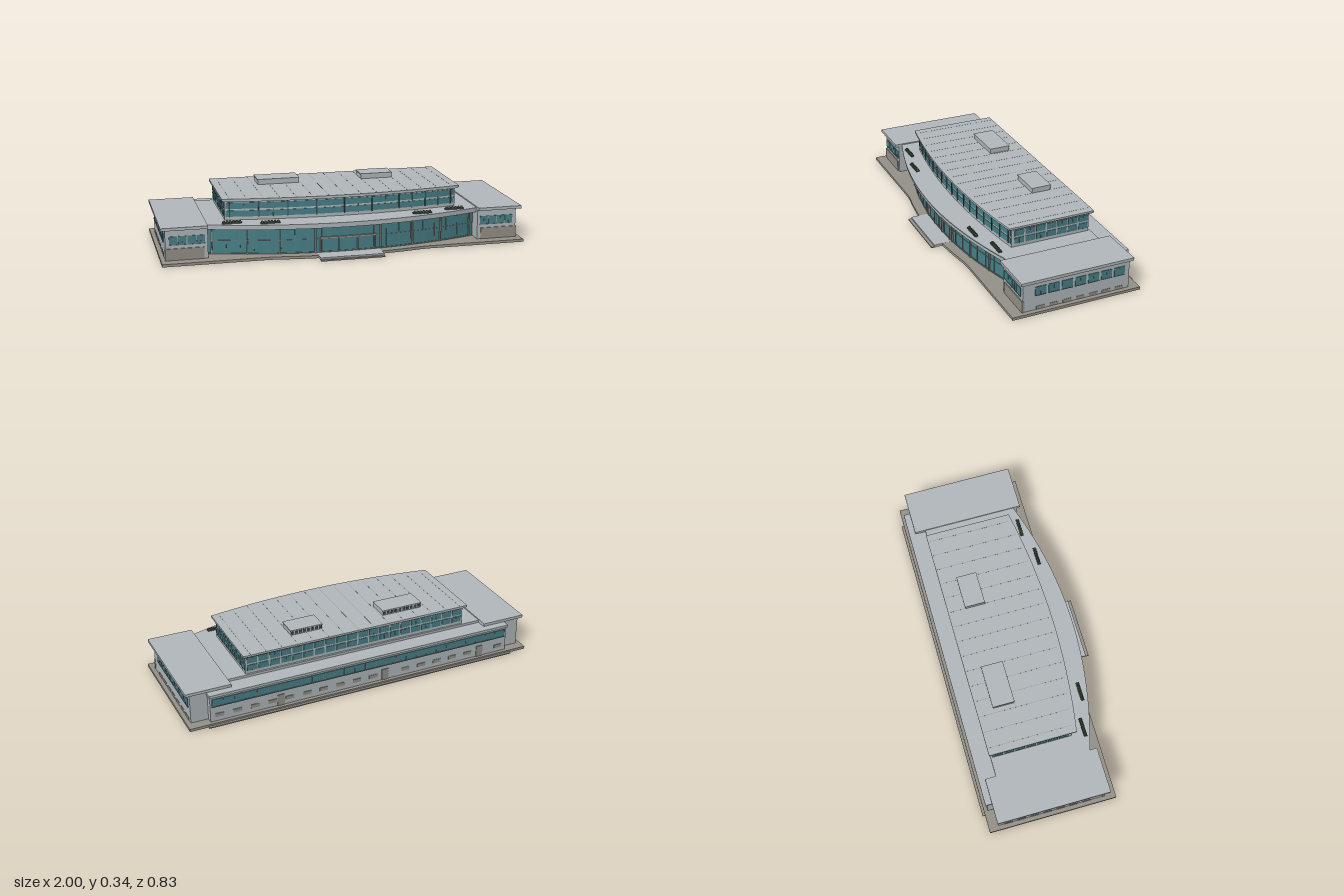
import * as THREE from 'three';

const mat = (name, color) => {
  const m = new THREE.MeshStandardMaterial({ color });
  m.name = name;
  return m;
};

export function createModel() {
  const root = new THREE.Group();
  const wall = mat('pale grey wall', 0xb3babd);
  const stone = mat('warm grey stone', 0x96938a);
  const glass = mat('teal glass', 0x48828a);
  const frame = mat('window frame', 0x6f7c7b);
  const dark = mat('dark metal', 0x42484a);
  const leaf = mat('shrub green', 0x46573a);

  const group = (name, parent = root) => {
    const g = new THREE.Group();
    g.name = name;
    parent.add(g);
    return g;
  };
  const add = (parent, name, geo, m) => {
    const o = new THREE.Mesh(geo, m);
    o.name = name;
    parent.add(o);
    return o;
  };
  // Box given by its limits on each axis
  const box = (parent, name, x0, x1, y0, y1, z0, z1, m) => {
    const o = add(parent, name, new THREE.BoxGeometry(x1 - x0, y1 - y0, z1 - z0), m);
    o.position.set((x0 + x1) / 2, (y0 + y1) / 2, (z0 + z1) / 2);
    return o;
  };
  // Slab with a bowed front edge z = front(x) and a straight back
  const bowed = (parent, name, half, front, back, y0, y1, m) => {
    const s = new THREE.Shape();
    s.moveTo(-half, -back);
    const n = 40;
    for (let i = 0; i <= n; i++) {
      const x = -half + (2 * half * i) / n;
      s.lineTo(x, -front(x));
    }
    s.lineTo(half, -back);
    const geo = new THREE.ExtrudeGeometry(s, { depth: y1 - y0, bevelEnabled: false });
    geo.rotateX(-Math.PI / 2);
    geo.translate(0, y0, 0);
    return add(parent, name, geo, m);
  };
  const arc = (zc, k) => (x) => zc - k * x * x;
  const KL = 0.222, KU = 0.134;

  // Upright bar set on a bowed front
  const bowBar = (parent, name, x, f, k, y0, y1, w, d, m) => {
    const o = box(parent, name, x - w / 2, x + w / 2, y0, y1, f(x) - d / 2, f(x) + d / 2, m);
    o.rotation.y = Math.atan(2 * k * x);
    return o;
  };
  // Flat window with one centre mullion, facing +z before it is turned
  const windowUnit = (parent, x, y, z, w, h, turn, sill = false) => {
    const g = group('window', parent);
    box(g, 'pane', -w / 2, w / 2, -h / 2, h / 2, -0.002, 0.002, glass);
    box(g, 'mullion', -0.0012, 0.0012, -h / 2, h / 2, 0, 0.003, frame);
    if (sill) box(g, 'sill', -w / 2 - 0.001, w / 2 + 0.001, -h / 2 - 0.003, -h / 2, -0.002, 0.004, frame);
    g.position.set(x, y, z);
    g.rotation.y = turn;
  };

  // Ground slab, entrance step and rear kerb
  const ground = group('base');
  const ga = arc(0.354, KL);
  bowed(ground, 'baseSlab', 1, (x) => Math.max(0.315, ga(x)), -0.4, 0, 0.015, stone);
  box(ground, 'entranceLanding', -0.175, 0.175, 0.001, 0.0155, 0.3, 0.395, wall);
  box(ground, 'entranceStep', -0.175, 0.175, 0, 0.007, 0.39, 0.412, stone);
  box(ground, 'rearKerb', -0.9, 0.9, 0, 0.006, -0.414, -0.4, stone);

  // Ground floor core and bowed curtain wall
  const lower = group('groundFloor');
  box(lower, 'coreWalls', -0.76, 0.76, 0.015, 0.175, -0.345, 0.12, wall);
  const gl = arc(0.295, KL);
  bowed(lower, 'curtainGlass', 0.75, gl, 0.1, 0.015, 0.165, glass);
  for (let i = -10; i <= 10; i++) bowBar(lower, 'mullion', i * 0.072, gl, KL, 0.015, 0.165, 0.003, 0.006, frame);
  for (const x of [0.18, 0.37, 0.54, 0.725]) for (const s of [-1, 1])
    bowBar(lower, 'column', s * x, arc(0.299, KL), KL, 0.015, 0.165, 0.008, 0.008, stone);
  bowed(lower, 'transom', 0.748, arc(0.298, KL), 0.11, 0.088, 0.091, frame);
  bowed(lower, 'bottomRail', 0.748, arc(0.299, KL), 0.11, 0.015, 0.02, frame);

  // Entrance surround
  const entry = group('entrance');
  bowed(entry, 'entranceHead', 0.155, arc(0.303, KL), 0.25, 0.092, 0.1, stone);
  for (const x of [-0.152, -0.052, 0.052, 0.152])
    bowBar(entry, 'doorPost', x, arc(0.299, KL), KL, 0.015, 0.094, 0.005, 0.009, stone);

  // Bowed canopy and terrace
  const terrace = group('terrace');
  bowed(terrace, 'canopy', 0.752, arc(0.35, KL), -0.295, 0.163, 0.184, wall);
  bowed(terrace, 'canopyLip', 0.752, arc(0.355, KL), -0.295, 0.184, 0.19, wall);

  // Side wings
  for (const s of [-1, 1]) {
    const wing = group(s > 0 ? 'leftWing' : 'rightWing');
    const mx = (name, a, b, y0, y1, z0, z1, m) =>
      box(wing, name, Math.min(s * a, s * b), Math.max(s * a, s * b), y0, y1, z0, z1, m);
    mx('wingWalls', 0.75, 0.975, 0.015, 0.182, -0.345, 0.25, wall);
    mx('wingRoof', 0.75, 1, 0.18, 0.196, -0.355, 0.27, wall);
    mx('frontPanel', 0.77, 0.977, 0.015, 0.078, 0.24, 0.255, stone);
    for (let i = 0; i < 4; i++) windowUnit(wing, s * (0.787 + i * 0.0485), 0.122, 0.251, 0.044, 0.045, 0, true);
    for (let i = 0; i < 7; i++) {
      const z = 0.153 - i * 0.0735;
      windowUnit(wing, s * 0.976, 0.122, z, 0.06, 0.047, (s * Math.PI) / 2, true);
      mx('lowPanel', 0.97, 0.977, 0.016, 0.034, z - 0.025, z + 0.023, stone);
    }
  }

  // Rear range with ribbon window, panels and doors
  const rear = group('rearRange');
  box(rear, 'rearWalls', -0.88, 0.88, 0.015, 0.162, -0.38, -0.34, wall);
  box(rear, 'rearRoof', -0.885, 0.885, 0.161, 0.176, -0.39, -0.28, wall);
  box(rear, 'ribbonGlass', -0.87, 0.87, 0.106, 0.148, -0.384, -0.378, glass);
  box(rear, 'ribbonSill', -0.872, 0.872, 0.102, 0.106, -0.387, -0.378, frame);
  for (let i = -14; i <= 14; i++)
    box(rear, 'ribbonMullion', i * 0.062 - 0.002, i * 0.062 + 0.002, 0.106, 0.148, -0.3855, -0.38, frame);
  const doors = [0.49, -0.12, -0.71];
  for (const x of doors) box(rear, 'door', x - 0.02, x + 0.02, 0.015, 0.08, -0.384, -0.378, stone);
  for (let i = 0; i < 18; i++) {
    const x = -0.83 + i * 0.0976;
    if (doors.every((d) => Math.abs(d - x) > 0.045))
      box(rear, 'rearPanel', x - 0.024, x + 0.024, 0.04, 0.06, -0.383, -0.378, stone);
  }

  // Upper storey with a bowed front and two window rows
  const upper = group('upperStorey');
  const uf = arc(0.213, KU);
  bowed(upper, 'upperWalls', 0.645, uf, -0.285, 0.185, 0.296, wall);
  for (const [y0, y1] of [[0.208, 0.241], [0.251, 0.285]]) {
    bowed(upper, 'frontGlass', 0.64, arc(0.2155, KU), 0.12, y0, y1, glass);
    const y = (y0 + y1) / 2, h = y1 - y0;
    for (let i = 0; i < 7; i++) for (const s of [-1, 1])
      windowUnit(upper, s * 0.646, y, 0.114 - i * 0.061, 0.053, h, (s * Math.PI) / 2);
    for (let i = 0; i < 20; i++) windowUnit(upper, -0.608 + i * 0.064, y, -0.286, 0.056, h, Math.PI);
  }
  for (let i = -8; i <= 8; i++)
    bowBar(upper, 'frontMullion', i * 0.0775, arc(0.216, KU), KU, 0.205, 0.288, i % 2 ? 0.003 : 0.006, 0.006, i % 2 ? frame : dark);

  // Main roof with seams
  const roof = group('mainRoof');
  bowed(roof, 'roofSoffit', 0.655, arc(0.23, KU), -0.3, 0.293, 0.299, wall);
  bowed(roof, 'roofSlab', 0.662, arc(0.236, KU), -0.306, 0.299, 0.31, wall);
  for (let i = -7; i <= 7; i++) {
    const x = i * 0.0886;
    box(roof, 'roofSeam', x - 0.001, x + 0.001, 0.3095, 0.3105, -0.298, arc(0.218, KU)(x), stone);
  }

  // Rooftop plant housings with rear vents
  for (const [x0, x1, z0] of [[-0.42, -0.183, -0.218], [0.172, 0.357, -0.21]]) {
    const unit = group('rooftopUnit');
    box(unit, 'housing', x0 + 0.003, x1 - 0.003, 0.309, 0.335, z0 + 0.004, -0.1, wall);
    box(unit, 'housingCap', x0, x1, 0.334, 0.34, z0, -0.097, wall);
    const n = Math.round((x1 - x0) / 0.024);
    for (let i = 0; i < n; i++) {
      const x = x0 + ((i + 0.5) * (x1 - x0)) / n;
      box(unit, 'vent', x - 0.008, x + 0.008, 0.315, 0.331, z0 + 0.002, z0 + 0.006, dark);
    }
  }

  // Terrace planters with shrubs
  for (const s of [-1, 1]) for (const [x, z] of [[0.618, 0.231], [0.42, 0.275]]) {
    const p = group('planter');
    box(p, 'trough', -0.052, 0.052, 0, 0.008, -0.009, 0.009, dark);
    for (let i = 0; i < 6; i++) {
      const b = add(p, 'shrub', new THREE.CylinderGeometry(0.005, 0.009, 0.009, 6), leaf);
      b.position.set(-0.043 + i * 0.0172, 0.0115, 0);
    }
    p.position.set(s * x, 0.19, z);
  }
  return root;
}
